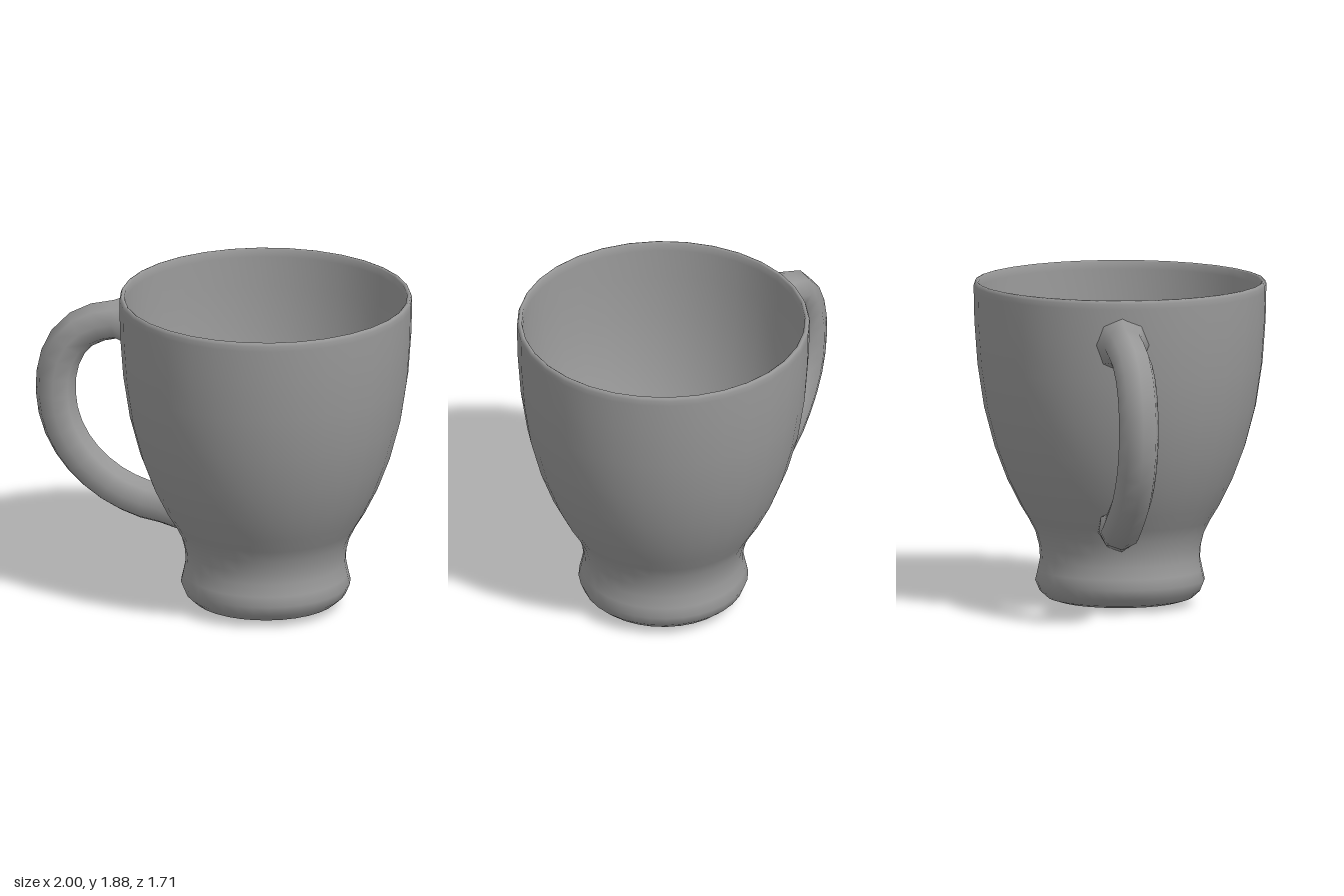
import * as THREE from 'three';

export function createModel() {
  const group = new THREE.Group();
  const material = new THREE.MeshStandardMaterial({ color: 0x999999, side: THREE.DoubleSide });
  const vec2 = ([r, y]) => new THREE.Vector2(r, y);

  // Thin-walled cup: outer wall from the base up, over the rim, down to the inner floor
  const wall = [
    [0.49, 0.14], [0.476, 0.2], [0.462, 0.27], [0.467, 0.34], [0.487, 0.42], [0.522, 0.49], [0.577, 0.58],
    [0.652, 0.73], [0.724, 0.92], [0.785, 1.15], [0.823, 1.4], [0.841, 1.65], [0.845, 1.83],
  ];
  const outer = [[0, 0.025], [0.03, 0.005], [0.19, 0], [0.36, 0.022], [0.42, 0.04], [0.465, 0.08], ...wall];
  const rim = [[0.845, 1.86], [0.838, 1.877], [0.828, 1.88], [0.817, 1.872]];
  const inner = wall.slice().reverse().map(([r, y]) => [r - 0.032, y]);
  const floor = [[0.42, 0.1], [0.37, 0.07], [0.19, 0.045], [0.025, 0.045], [0.02, 0.065], [0, 0.075]];
  const axis = new THREE.Vector3(0.15, 0, -0.01);
  const cup = new THREE.Mesh(
    new THREE.LatheGeometry([...outer, ...rim, ...inner, ...floor].map(vec2), 32), material);
  cup.name = 'cup';
  cup.position.copy(axis);
  group.add(cup);

  // Outer wall radius at a height
  const wallRadius = (y) => {
    const i = wall.findIndex((p) => p[1] > y);
    const [[r0, y0], [r1, y1]] = [wall[i - 1], wall[i]];
    return THREE.MathUtils.mapLinear(y, y0, y1, r0, r1);
  };

  // Handle: tube on a diagonal plane, flared and seated on the wall at both joints
  const path = new THREE.CatmullRomCurve3([
    [-0.55, 1.62, 0.42], [-0.68, 1.605, 0.53], [-0.8, 1.52, 0.65], [-0.865, 1.37, 0.715],
    [-0.885, 1.18, 0.735], [-0.86, 0.97, 0.71], [-0.78, 0.77, 0.63], [-0.65, 0.61, 0.5],
    [-0.5, 0.535, 0.385], [-0.36, 0.51, 0.29], [-0.21, 0.47, 0.24],
  ].map((p) => new THREE.Vector3(...p)));
  const steps = 18, sides = 8;
  const tube = new THREE.TubeGeometry(path, steps, 1, sides, false);
  const pos = tube.attributes.position;
  const v = new THREE.Vector3();
  const ringRadius = { 0: 0.16, [steps - 1]: 0.14, [steps]: 0 }; // last ring is the tip inside the cup
  for (let i = 0; i <= steps; i++) {
    const centre = path.getPointAt(i / steps);
    const radius = ringRadius[i] ?? 0.117;
    for (let j = 0; j <= sides; j++) {
      const k = i * (sides + 1) + j;
      v.fromBufferAttribute(pos, k).sub(centre).multiplyScalar(radius).add(centre);
      if (i === 0 || i === steps - 1) {
        const scale = (wallRadius(v.y) - 0.012) / Math.hypot(v.x - axis.x, v.z - axis.z);
        v.x = axis.x + (v.x - axis.x) * scale;
        v.z = axis.z + (v.z - axis.z) * scale;
      }
      pos.setXYZ(k, v.x, v.y, v.z);
    }
  }
  const handle = new THREE.Mesh(tube, material);
  handle.name = 'handle';
  group.add(handle);

  return group;
}
